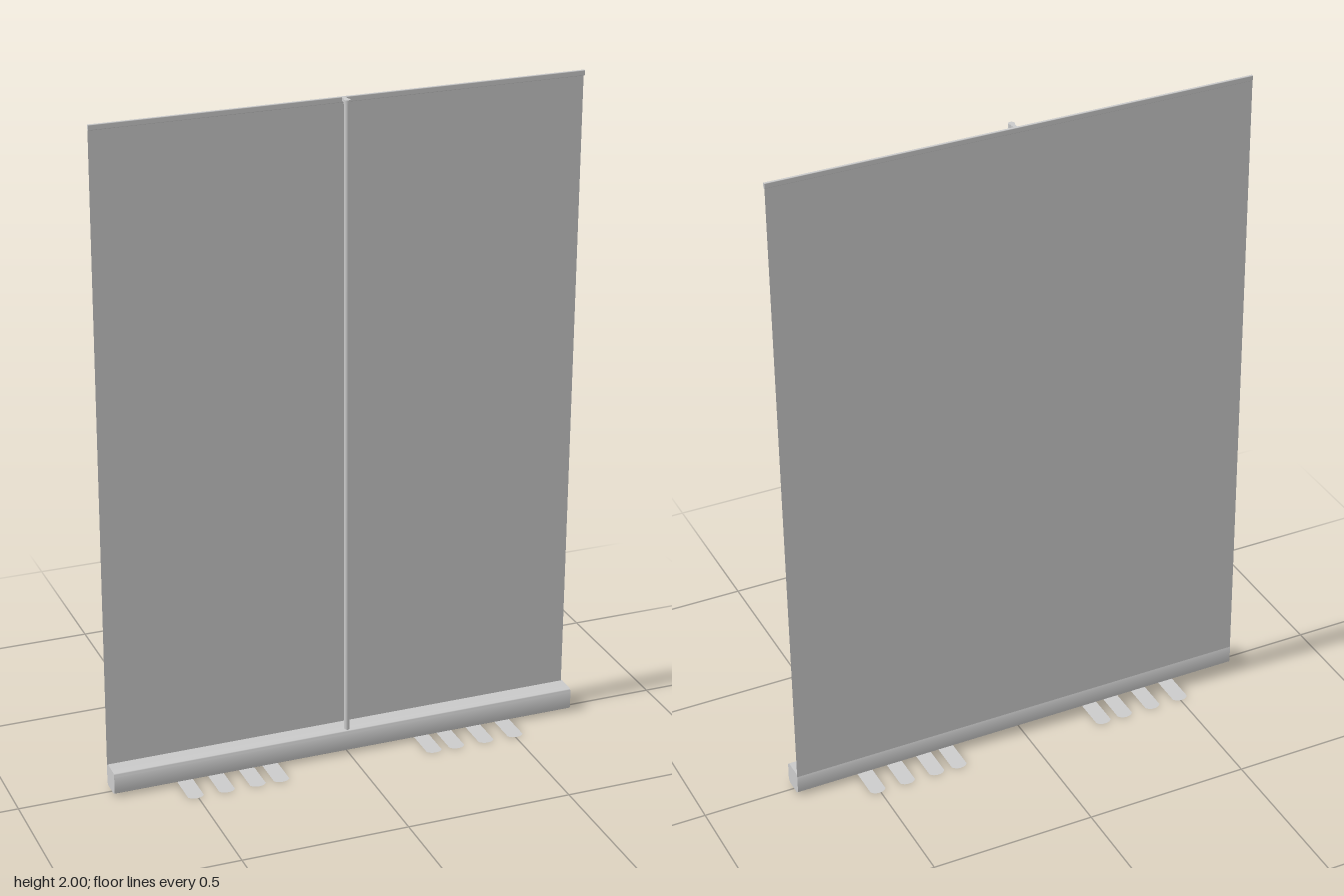
import * as THREE from 'three';
import { toCreasedNormals } from 'three/addons/utils/BufferGeometryUtils.js';

const W = 1.446;         // overall width
const POLE_Z = 0.021;
const SHEET_TOP = [1.99, -0.01], SHEET_BOTTOM = [0.065, -0.034]; // [y, z]

const solid = new THREE.MeshStandardMaterial({ color: 0xcccccc });
const thin = new THREE.MeshStandardMaterial({ color: 0xcccccc, side: THREE.DoubleSide });

function add(group, name, geometry, material = solid, x = 0, y = 0, z = 0) {
  const mesh = new THREE.Mesh(geometry, material);
  mesh.name = name;
  mesh.position.set(x, y, z);
  group.add(mesh);
  return mesh;
}

// Rounded rectangle outline centred on the origin
function roundedRect(w, h, r) {
  const s = new THREE.Shape();
  s.absarc(w / 2 - r, h / 2 - r, r, 0, Math.PI / 2);
  s.absarc(-w / 2 + r, h / 2 - r, r, Math.PI / 2, Math.PI);
  s.absarc(-w / 2 + r, -h / 2 + r, r, Math.PI, Math.PI * 1.5);
  s.absarc(w / 2 - r, -h / 2 + r, r, Math.PI * 1.5, Math.PI * 2);
  s.closePath();
  return s;
}

// Profile in (z, y) extruded along the width
function bar(w, h, r) {
  const g = new THREE.ExtrudeGeometry(roundedRect(w, h, r),
    { depth: W, bevelEnabled: false, curveSegments: 6 });
  g.translate(0, 0, -W / 2);
  g.rotateY(Math.PI / 2);
  return toCreasedNormals(g, 0.7);
}

// Flat strip foot with bowed ends
function footGeometry() {
  const w = 0.024, end = 0.116, tip = 0.13, bow = 0.0165;
  const s = new THREE.Shape();
  s.moveTo(-w, -end);
  s.bezierCurveTo(-w * 0.6, -end - bow, w * 0.6, -end - bow, w, -end);
  s.lineTo(w, end);
  s.bezierCurveTo(w * 0.6, tip + 0.003, -w * 0.6, tip + 0.003, -w, end);
  s.closePath();
  return new THREE.ShapeGeometry(s, 8).rotateX(-Math.PI / 2);
}

export function createModel() {
  const model = new THREE.Group();
  model.name = 'rollUpBanner';

  // Cassette that holds the rolled sheet
  add(model, 'baseHousing', bar(0.07, 0.07, 0.013), solid, 0, 0.04, 0);

  // Sheet, leaning slightly forward from the back of the housing
  const [ty, tz] = SHEET_TOP, [by, bz] = SHEET_BOTTOM;
  const sheet = add(model, 'bannerSheet',
    new THREE.PlaneGeometry(W, Math.hypot(ty - by, tz - bz)), thin, 0, (ty + by) / 2, (tz + bz) / 2);
  sheet.rotation.x = Math.atan2(tz - bz, ty - by);

  // Clamp rail along the top edge
  add(model, 'topRail', bar(0.008, 0.016, 0.002), solid, 0, 1.992, -0.007);

  // Support pole and the hook that grips the rail
  add(model, 'supportPole', new THREE.CylinderGeometry(0.008, 0.008, 1.93, 20), solid, 0, 1.03, POLE_Z);
  add(model, 'poleCap', new THREE.CylinderGeometry(0.0095, 0.0095, 0.012, 20), solid, 0, 1.993, POLE_Z);
  add(model, 'poleHook', new THREE.BoxGeometry(0.012, 0.01, 0.026), solid, 0, 1.994, 0.005);

  // Flat feet under the housing, mirrored left and right
  const foot = footGeometry();
  for (const side of [-1, 1]) {
    for (const x of [0.241, 0.314, 0.409, 0.504]) {
      add(model, side > 0 ? 'leftFoot' : 'rightFoot', foot, thin, side * x, 0, 0);
    }
  }
  return model;
}
